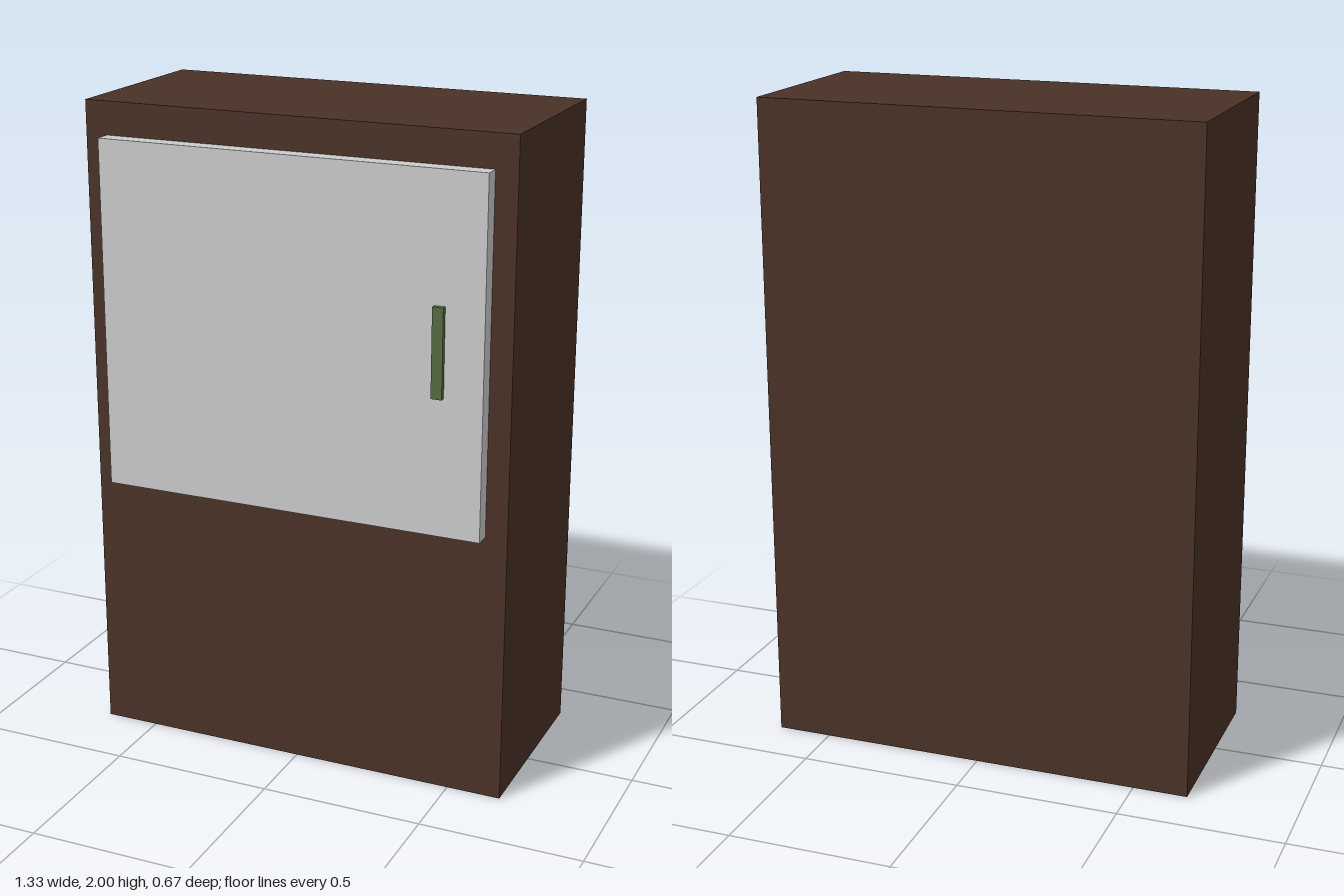
import * as THREE from 'three';

// Box given by its min and max corners
function box(name, color, [x0, y0, z0], [x1, y1, z1]) {
  const mesh = new THREE.Mesh(
    new THREE.BoxGeometry(x1 - x0, y1 - y0, z1 - z0),
    new THREE.MeshStandardMaterial({ color })
  );
  mesh.name = name;
  mesh.position.set((x0 + x1) / 2, (y0 + y1) / 2, (z0 + z1) / 2);
  return mesh;
}

export function createModel() {
  const model = new THREE.Group();
  model.name = 'cabinet';

  // Solid wooden carcass
  model.add(box('body', 0x4a3226, [-0.667, 0, -0.333], [0.667, 2, 0.267]));
  // Door panel on the upper front
  model.add(box('door', 0xcccccc, [-0.6, 0.833, 0.267], [0.6, 1.9, 0.317]));
  // Slim upright handle on the door
  model.add(box('handle', 0x556b3f, [0.45, 1.25, 0.317], [0.483, 1.517, 0.333]));

  return model;
}
